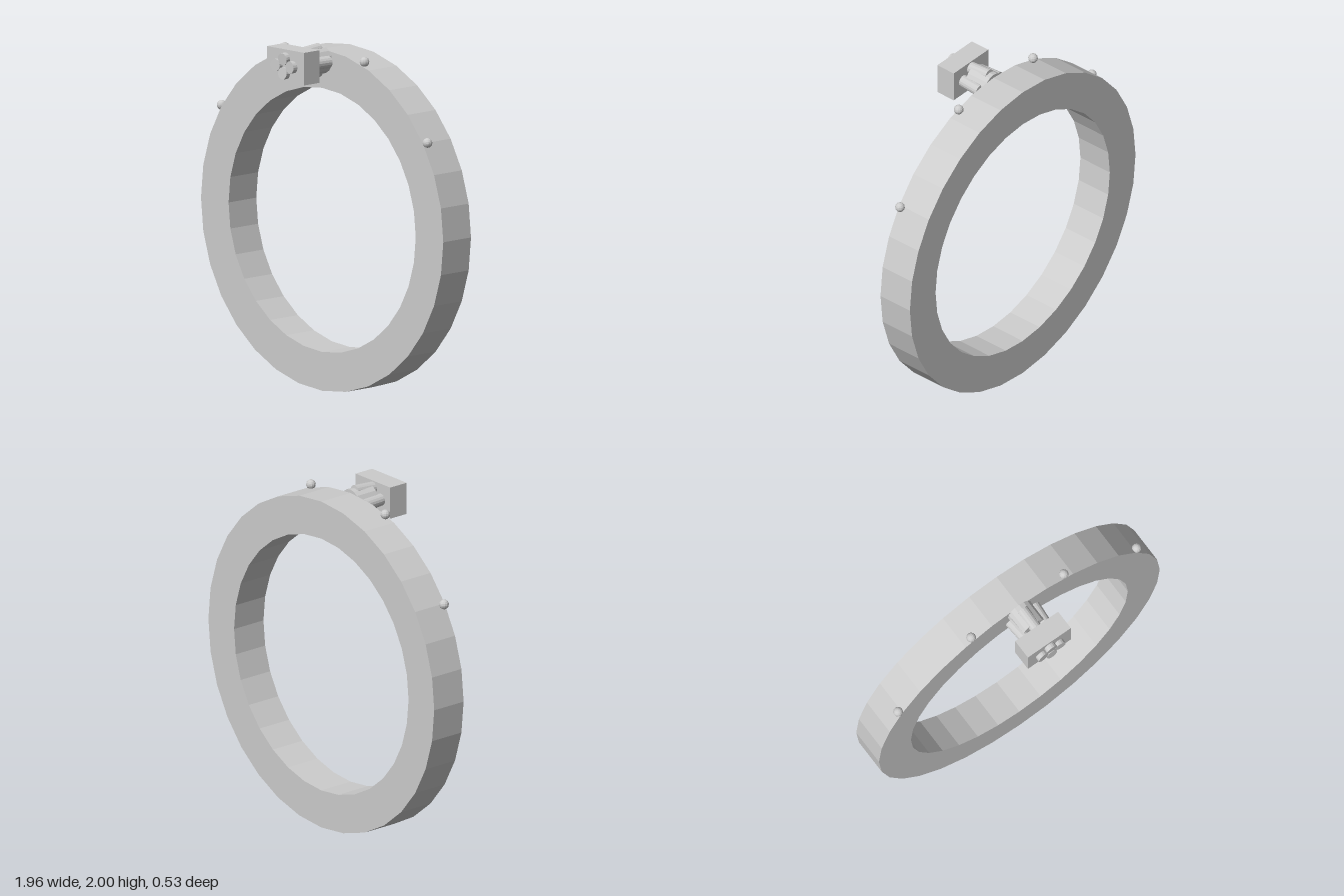
import * as THREE from 'three';

const material = new THREE.MeshStandardMaterial({ color: 0xcccccc, flatShading: true });

export function createModel() {
  const model = new THREE.Group();
  const add = (name, geometry, x, y, z) => {
    const mesh = new THREE.Mesh(geometry, material);
    mesh.name = name;
    mesh.position.set(x, y, z);
    model.add(mesh);
    return mesh;
  };

  // Flat-sided ring: rectangular section turned about z
  const front = 0.109, outer = 0.98, inner = 0.757;
  const section = [
    [inner, -front], [outer, -front], [outer, front], [inner, front], [inner, -front],
  ].map(([r, h]) => new THREE.Vector2(r, h));
  const ringGeometry = new THREE.LatheGeometry(section, 32).rotateX(Math.PI / 2);
  add('ring', ringGeometry, 0, 0.984, -0.157);

  // Block in front of the top of the ring
  const y = 1.904;
  add('block', new THREE.BoxGeometry(0.3, 0.187, 0.122), 0, y, 0.178);

  // Hub joining the block to the ring
  add('hub', new THREE.CylinderGeometry(0.08, 0.08, 0.14, 16).rotateX(Math.PI / 2), 0, y, 0.02);

  // Four tubes through the block, spreading towards the ring
  const up = new THREE.Vector3(0, 1, 0);
  for (const [dx, dy] of [[1, 0], [-1, 0], [0, 1], [0, -1]]) {
    const a = new THREE.Vector3(dx * 0.081, y + dy * 0.063, -0.02);
    const b = new THREE.Vector3(dx * 0.058, y + dy * 0.04, 0.265);
    const axis = b.clone().sub(a);
    const mid = a.clone().add(b).multiplyScalar(0.5);
    const tube = add('tube', new THREE.CylinderGeometry(0.035, 0.035, axis.length(), 16), mid.x, mid.y, mid.z);
    tube.quaternion.setFromUnitVectors(up, axis.normalize());
  }

  // Small beads along the upper rim
  for (const side of [-1, 1]) {
    for (const [bx, by] of [[0.323, 1.93], [0.833, 1.532]]) {
      add('bead', new THREE.SphereGeometry(0.028, 12, 8), side * bx, by, -0.067);
    }
  }
  return model;
}
